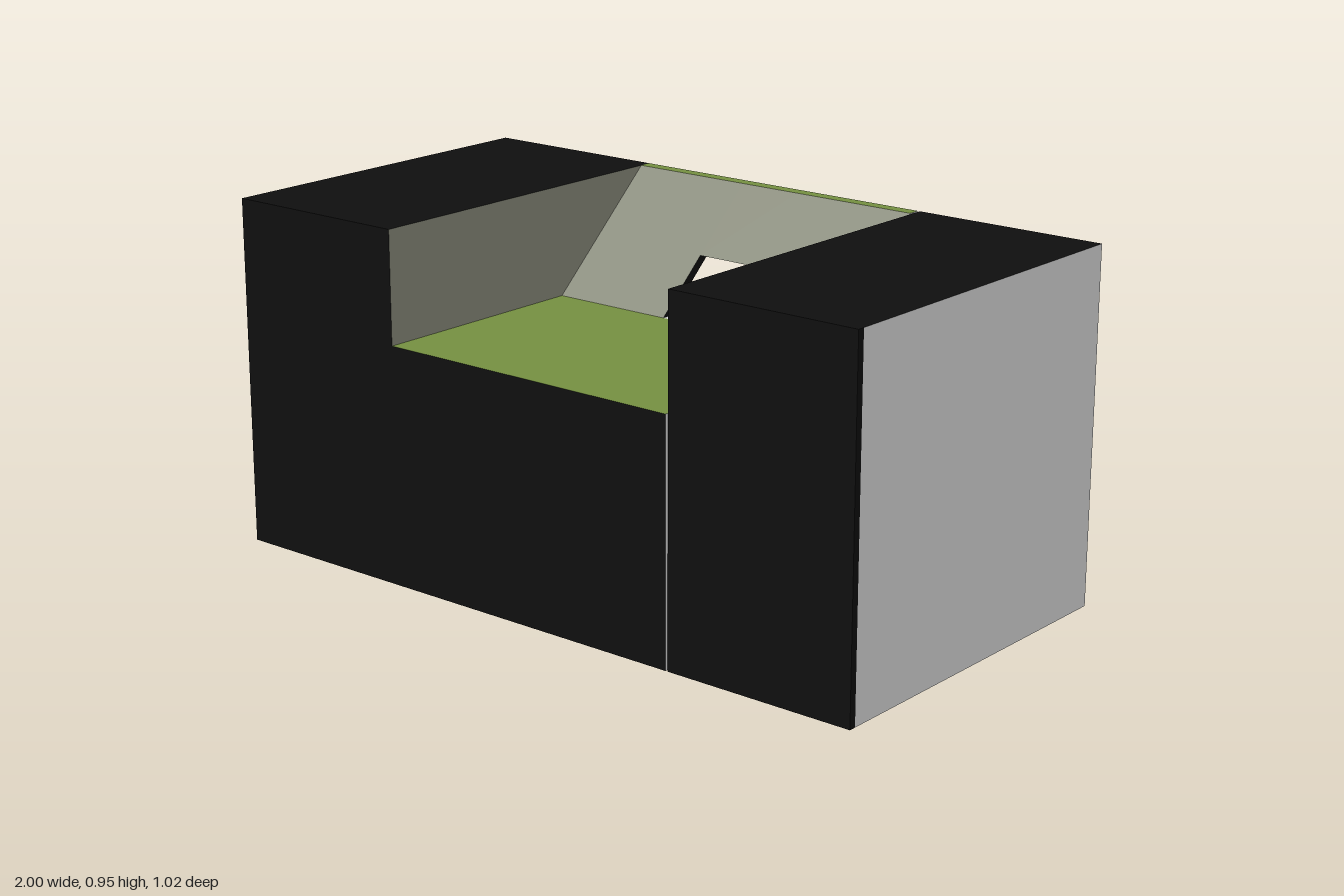
import * as THREE from 'three';

const mat = (name, color) => {
  const m = new THREE.MeshStandardMaterial({ color });
  m.name = name;
  return m;
};

export function createModel() {
  const grey = mat('light grey', 0xdcdcdc);
  const black = mat('black', 0x0f0f0f);
  const green = mat('grass green', 0x759041);
  const olive = mat('olive grey', 0x888b7b);

  const model = new THREE.Group();
  model.name = 'terraceBuilding';

  // Box between two corners; faces: [+x, -x, +y, -y, +z, -z]
  const block = (name, [x0, x1], [y0, y1], [z0, z1], faces, rule) => {
    const g = new THREE.BoxGeometry(x1 - x0, y1 - y0, z1 - z0);
    g.translate((x0 + x1) / 2, (y0 + y1) / 2, (z0 + z1) / 2);
    if (rule) {
      const p = g.attributes.position;
      for (let i = 0; i < p.count; i++) p.setZ(i, p.getZ(i) + rule(p.getY(i)));
      g.computeVertexNormals();
    }
    const mesh = new THREE.Mesh(g, faces);
    mesh.name = name;
    model.add(mesh);
  };

  const H = 0.955, floor = 0.65, back = -0.51, front = 0.51, facade = 0.49;
  const wallZ = [-0.175, -0.14];

  // Side wings: grey shell, black roof, olive inner wall, black facade slab
  for (const [name, x, px, nx] of [
    ['rightWing', [-1, -0.455], olive, grey],
    ['leftWing', [0.457, 1], grey, olive],
  ]) {
    block(name, x, [0, H], [back, facade], [px, nx, black, grey, black, grey]);
    const slabPx = px === olive ? olive : black;
    const slabNx = nx === olive ? olive : black;
    block(name + 'Facade', x, [0, H], [facade, front], [slabPx, slabNx, black, grey, black, grey]);
  }

  // Middle block with the green terrace, and its grey sill behind
  const mid = [-0.455, 0.45];
  block('terraceBlock', mid, [0, floor], [wallZ[1], front], [grey, grey, green, grey, black, grey]);
  block('rearWall', mid, [0, floor], wallZ, [grey, grey, grey, grey, grey, grey]);

  // Leaning wall around a square opening, sheared backwards as it rises
  const lean = (y) => -(y - floor) * (0.335 / (H - floor));
  const hole = [-0.097, 0.087], holeTop = 0.79;
  block('leaningWallRight', [mid[0], hole[0]], [floor, H], wallZ, [black, grey, green, grey, olive, grey], lean);
  block('leaningWallLeft', [hole[1], mid[1]], [floor, H], wallZ, [grey, black, green, grey, olive, grey], lean);
  block('leaningWallLintel', hole, [holeTop, H], wallZ, [grey, grey, green, black, olive, grey], lean);

  return model;
}
